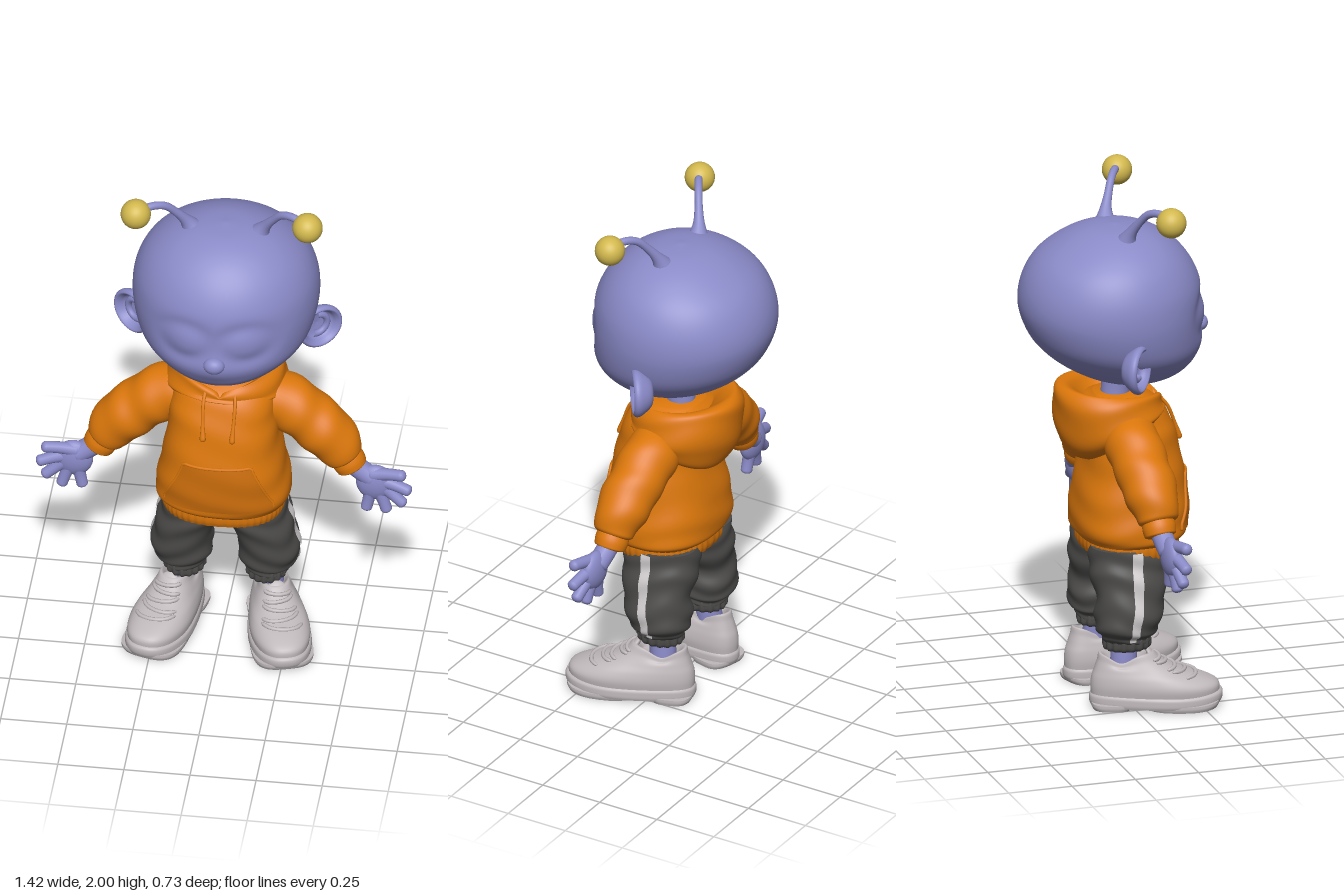
import * as THREE from 'three';
import { mergeVertices, toCreasedNormals } from 'three/addons/utils/BufferGeometryUtils.js';

const V = (x, y, z) => new THREE.Vector3(x, y, z);
const paint = (name, color) => Object.assign(new THREE.MeshStandardMaterial({ color }), { name });

// Smooth surface from a rule f(s, t), s around and t along, both 0..1
function grid(f, ns, nt, crease = 0.9) {
  const pos = [], idx = [];
  for (let j = 0; j <= nt; j++) for (let i = 0; i <= ns; i++) pos.push(...f(i / ns, j / nt).toArray());
  for (let j = 0; j < nt; j++) for (let i = 0; i < ns; i++) {
    const a = j * (ns + 1) + i, c = a + ns + 1;
    idx.push(a, a + 1, c + 1, a, c + 1, c);
  }
  const geo = new THREE.BufferGeometry();
  geo.setAttribute('position', new THREE.Float32BufferAttribute(pos, 3));
  geo.setIndex(idx);
  const merged = mergeVertices(geo, 1e-5).scale(100, 100, 100);
  return toCreasedNormals(merged, crease).scale(0.01, 0.01, 0.01);
}

// Horizontal rings [y, halfWidth, zFront, zBack, centreX, yBack, power] blended smoothly from bottom to top
function rings(sections, { n = 2, ribs = 0, ribSize = 0, fold = 0, warp } = {}) {
  const rows = sections.map(([y, w, zf, zb, cx = 0, yb = y, p = 1]) => [y, w, zf, zb, cx, yb, p]);
  const curve = new THREE.CubicInterpolant(rows.map((_, i) => i), rows.flat(), 7);
  const bend = (v) => Math.sign(v) * Math.abs(v) ** (2 / n);
  return (t, a, off = 0, shrink = 1) => {
    const [y, w, zf, zb, cx, yb, p] = curve.evaluate(t);
    const o = off + ribSize * Math.cos(ribs * a) + fold * Math.sin(t * 4 + 2 * Math.sin(a * 2));
    const back = Math.max(0, (1 - Math.cos(a)) / 2) ** p;
    const v = V(cx + shrink * (w + o) * bend(Math.sin(a)), y + (yb - y) * back,
      (zf + zb) / 2 + shrink * ((zf - zb) / 2 + o) * bend(Math.cos(a)));
    return warp ? warp(v) : v;
  };
}

function loft(sections, opts = {}, ns = 64, nt = 48) {
  const at = rings(sections, opts), last = sections.length - 1;
  return grid((s, t) => {
    const k = (t * (nt + 2) - 1) / nt;
    const shrink = k < -1e-6 || k > 1 + 1e-6 ? 0 : 1;
    return at(THREE.MathUtils.clamp(k, 0, 1) * last, s * 2 * Math.PI, 0, shrink);
  }, ns, nt + 2);
}

// Round tube with varying radius and rounded ends
function sweep(points, radii, { cap = 0.12, ns = 16, nt = 24, wrinkle = 0 } = {}) {
  const curve = new THREE.CatmullRomCurve3(points.map((p) => V(...p)));
  const frames = curve.computeFrenetFrames(200);
  const radius = new THREE.CubicInterpolant(radii.map((_, i) => i / (radii.length - 1)), radii, 1);
  return grid((s, k) => {
    const t = 0.5 - 0.5 * Math.cos(k * Math.PI), i = Math.round(t * 200), a = s * 2 * Math.PI;
    const e = Math.max(0, 1 - Math.min(t, 1 - t) / cap);
    const r = (radius.evaluate(t)[0] + wrinkle * Math.sin(t * 24 + 2 * Math.cos(a))) * Math.sqrt(Math.max(0, 1 - e * e));
    return curve.getPointAt(t).addScaledVector(frames.normals[i], r * Math.cos(a))
      .addScaledVector(frames.binormals[i], r * Math.sin(a));
  }, ns, nt);
}

const ball = (r, x, y, z, sx = 1, sy = 1, sz = 1) =>
  new THREE.SphereGeometry(r, 32, 20).scale(sx, sy, sz).translate(x, y, z);

function mirrored(geo) {
  const g = geo.clone().scale(-1, 1, 1);
  const src = g.index ? Array.from(g.index.array) : Array.from({ length: g.attributes.position.count }, (_, i) => i);
  for (let i = 0; i < src.length; i += 3) [src[i + 1], src[i + 2]] = [src[i + 2], src[i + 1]];
  g.setIndex(src);
  return g;
}

export function createModel() {
  const model = new THREE.Group();
  model.name = 'antennaChild';
  const skin = paint('skin', 0x8a8ac8), gold = paint('gold', 0xd2b84e), orange = paint('orange', 0xdb770b);
  const pocketOrange = paint('pocketOrange', 0xc96c0b), grey = paint('charcoal', 0x4c4b4a);
  const shoeGrey = paint('shoeGrey', 0xbfb8bb), white = paint('stripeWhite', 0xd2cecf);
  const add = (name, geo, mat) => {
    const mesh = new THREE.Mesh(geo, mat);
    mesh.name = name;
    model.add(mesh);
  };
  const both = (name, geo, mat) => {
    add(name + 'Left', geo, mat);
    add(name + 'Right', mirrored(geo), mat);
  };

  // Head with soft closed-eye sockets, a faint smile and a slightly pointed muzzle
  const face = (v) => {
    if (v.z < 0.1) return v;
    const d = Math.hypot((Math.abs(v.x) - 0.115) / 0.085, (v.y - 1.51) / 0.065);
    v.z += 0.004 * Math.exp(-1.5 * d * d) - 0.009 * Math.exp(-(((d - 1.1) / 0.45) ** 2));
    const m = (v.y - 1.33 - 0.8 * v.x * v.x) / 0.025;
    v.z -= 0.003 * Math.exp(-m * m - (v.x / 0.16) ** 4);
    v.z += 0.01 * Math.exp(-((v.x / 0.07) ** 2) - ((v.y - 1.4) / 0.06) ** 2);
    return v;
  };
  add('head', loft([[1.232, 0, 0.06, 0.06], [1.238, 0.095, 0.15, -0.03], [1.262, 0.165, 0.235, -0.11],
    [1.31, 0.24, 0.29, -0.2], [1.37, 0.303, 0.32, -0.277], [1.44, 0.336, 0.328, -0.332],
    [1.54, 0.352, 0.328, -0.366], [1.64, 0.34, 0.314, -0.354], [1.73, 0.295, 0.268, -0.302],
    [1.8, 0.215, 0.196, -0.208], [1.842, 0.115, 0.105, -0.108], [1.855, 0, 0, 0]], { warp: face }, 96, 90), skin);
  add('nose', ball(0.04, 0, 1.425, 0.332, 1, 0.82, 0.8), skin);
  add('neck', sweep([[0, 1.08, 0], [0, 1.18, 0], [0, 1.28, 0.01]], [0.07, 0.055, 0.06], { ns: 32 }), skin);

  // Ears: deep rolled dish with an inner fold
  const placeEar = (g) => g.rotateZ(-0.45).rotateY(0.66).translate(0.352, 1.385, -0.022);
  const dish = new THREE.SplineCurve([[0, -0.06], [0.05, -0.052], [0.084, -0.015], [0.091, 0.008], [0.08, 0.02],
    [0.067, 0.008], [0.05, -0.016], [0, -0.024]].map((p) => new THREE.Vector2(...p)));
  both('ear', placeEar(new THREE.LatheGeometry(dish.getPoints(36), 40).rotateX(Math.PI / 2).scale(1.02, 1, 1)), skin);
  both('earFold', placeEar(new THREE.TorusGeometry(0.042, 0.013, 10, 24, 3.6).rotateZ(-1.6).translate(-0.005, 0, -0.01)), skin);

  // Antennae
  both('antennaStalk', sweep([[0.12, 1.8, 0], [0.145, 1.85, 0.01], [0.185, 1.91, 0.035], [0.225, 1.953, 0.06],
    [0.275, 1.965, 0.09], [0.325, 1.945, 0.115]], [0.05, 0.024, 0.016, 0.015, 0.015, 0.015], { cap: 0.02, nt: 40 }), skin);
  both('antennaBall', ball(0.057, 0.325, 1.945, 0.115), gold);

  // Hoodie body and ribbed hem
  const torso = [[0.63, 0.235, 0.235, -0.14], [0.66, 0.255, 0.255, -0.16], [0.72, 0.25, 0.262, -0.162],
    [0.8, 0.235, 0.262, -0.155], [0.9, 0.217, 0.25, -0.135], [1.0, 0.205, 0.23, -0.125],
    [1.08, 0.2, 0.205, -0.13], [1.15, 0.175, 0.165, -0.12], [1.19, 0.1, 0.1, -0.08]];
  const torsoOpts = { n: 2.4, fold: 0.002 };
  add('hoodieBody', loft(torso, torsoOpts, 80, 60), orange);
  add('hoodieHem', loft([[0.58, 0.225, 0.218, -0.13], [0.6, 0.232, 0.226, -0.137], [0.625, 0.234, 0.228, -0.138],
    [0.65, 0.23, 0.226, -0.136]], { n: 2.4, ribs: 48, ribSize: 0.002 }, 192, 8), orange);

  // Hood lying on the shoulders, open at the neck with a V in front
  add('hood', loft([[1.1, 0.16, 0.14, -0.1, 0, 0.93, 1.6], [1.12, 0.21, 0.172, -0.185, 0, 0.965, 1.4],
    [1.135, 0.234, 0.18, -0.225, 0, 1.06, 1], [1.145, 0.222, 0.175, -0.235, 0, 1.17, 0.4],
    [1.15, 0.195, 0.165, -0.218, 0, 1.225, 0.24], [1.138, 0.165, 0.143, -0.168, 0, 1.217, 0.24],
    [1.12, 0.11, 0.09, -0.1, 0, 1.15, 0.5], [1.1, 0.05, 0.05, -0.05, 0, 1.1, 1]], { fold: 0.003 }, 96, 56), orange);

  // Front pocket with raised edge, following the body
  const body = rings(torso, torsoOpts);
  const pocketPoint = (s, t, off) => {
    const half = t < 0.15 ? 0.87 : THREE.MathUtils.lerp(0.87, 0.53, (t - 0.15) / 0.85);
    return body(1.33 + 2.45 * t, (2 * s - 1) * half, off);
  };
  add('pocket', grid((s, t) => pocketPoint(s, t, 0.006), 32, 20), pocketOrange);
  const edge = [];
  for (let i = 0; i <= 12; i++) edge.push(pocketPoint(0, i / 12, 0.003).toArray());
  for (let i = 1; i <= 12; i++) edge.push(pocketPoint(i / 12, 1, 0.003).toArray());
  for (let i = 11; i >= 0; i--) edge.push(pocketPoint(1, i / 12, 0.003).toArray());
  add('pocketEdge', sweep(edge, [0.006, 0.006, 0.006], { cap: 0.01, ns: 8, nt: 80 }), orange);

  // Drawstrings
  both('drawstring', sweep([[0.055, 1.175, 0.15], [0.06, 1.13, 0.186], [0.058, 1.06, 0.215], [0.055, 0.99, 0.238]],
    [0.007, 0.007, 0.007, 0.013], { ns: 10, cap: 0.06 }), orange);

  // Sleeves and gathered cuffs
  both('sleeve', sweep([[0.1, 1.08, 0], [0.22, 1.04, 0], [0.32, 0.97, 0.005], [0.41, 0.885, 0.015], [0.465, 0.8, 0.02]],
    [0.085, 0.106, 0.104, 0.1, 0.07], { ns: 40, nt: 60, cap: 0.05, wrinkle: 0.003 }), orange);
  both('sleeveCuff', sweep([[0.452, 0.825, 0.02], [0.468, 0.793, 0.02], [0.485, 0.76, 0.022]],
    [0.06, 0.064, 0.058], { ns: 32, cap: 0.15 }), orange);

  // Hands: wrist, palm and five spread fingers
  both('wrist', sweep([[0.465, 0.8, 0.02], [0.51, 0.76, 0.024], [0.57, 0.72, 0.03]], [0.042, 0.04, 0.04]), skin);
  both('palm', ball(0.073, 0.57, 0.71, 0.033, 1, 1.05, 0.5), skin);
  [[0.545, 0.745, 0.62, 0.763, 0.69, 0.772, 0.065], [0.585, 0.725, 0.645, 0.712, 0.71, 0.692, 0.055],
    [0.585, 0.71, 0.635, 0.668, 0.686, 0.625, 0.05], [0.575, 0.695, 0.597, 0.645, 0.618, 0.583, 0.045],
    [0.555, 0.69, 0.547, 0.64, 0.535, 0.583, 0.04]].forEach(([ax, ay, bx, by, cx, cy, z], i) =>
    both(i ? 'finger' + i : 'thumb', sweep([[ax, ay, 0.033], [bx, by, (z + 0.033) / 2], [cx, cy, z]], [0.03, 0.023, 0.022]), skin));

  // Trousers, side stripes and gathered ankles
  const leg = [[0.25, 0.072, 0.08, -0.09, 0.155], [0.275, 0.085, 0.09, -0.105, 0.157], [0.3, 0.107, 0.108, -0.122, 0.162],
    [0.35, 0.117, 0.122, -0.13, 0.164], [0.42, 0.11, 0.137, -0.122, 0.16], [0.5, 0.122, 0.153, -0.135, 0.132],
    [0.56, 0.122, 0.16, -0.137, 0.117], [0.62, 0.118, 0.155, -0.13, 0.112]];
  const legOpts = { n: 2.2, fold: 0.004 };
  both('trouserLeg', loft(leg, legOpts, 56, 48), grey);
  const legAt = rings(leg, legOpts);
  both('trouserStripe', grid((s, t) => legAt(0.6 + 6.3 * t, Math.PI / 2 + (s - 0.5) * 0.22, 0.004), 6, 40), white);
  both('trouserCuff', loft([[0.222, 0.068, 0.076, -0.088, 0.155], [0.235, 0.077, 0.085, -0.095, 0.155],
    [0.265, 0.077, 0.084, -0.094, 0.156], [0.28, 0.07, 0.078, -0.09, 0.156]], { ribs: 16, ribSize: 0.004 }, 96, 10), grey);
  both('ankle', sweep([[0.17, 0.12, -0.025], [0.165, 0.2, -0.02], [0.16, 0.28, -0.01]], [0.05, 0.05, 0.05], { ns: 24 }), skin);

  // Shoes, toes turned out
  const place = (g) => g.rotateY(0.28).translate(0.182, 0, 0);
  const shape = (v) => { // narrower heel, toe spring and a collar dipping at the ankle
    v.x *= 0.87 + 0.25 * THREE.MathUtils.smoothstep(v.z, -0.1, 0.2);
    if (v.z > 0.2) v.y += 0.6 * (v.z - 0.2) ** 2;
    v.y -= 0.035 * THREE.MathUtils.smoothstep(v.y, 0.15, 0.21) * Math.exp(-(((v.z + 0.035) / 0.05) ** 2));
    return v;
  };
  const upper = [[0.045, 0.1, 0.335, -0.148], [0.085, 0.104, 0.328, -0.15], [0.12, 0.096, 0.27, -0.146],
    [0.15, 0.082, 0.185, -0.136], [0.185, 0.068, 0.118, -0.125], [0.215, 0.06, 0.085, -0.118],
    [0.208, 0.05, 0.065, -0.1], [0.18, 0.04, 0.05, -0.08]];
  const shoeOpts = { n: 2.4, warp: shape };
  both('shoeSole', place(loft([[0.012, 0.105, 0.34, -0.15], [0.022, 0.108, 0.345, -0.154], [0.036, 0.108, 0.347, -0.155],
    [0.048, 0.107, 0.345, -0.154], [0.056, 0.102, 0.338, -0.149]], shoeOpts, 64, 12)), shoeGrey);
  [['shoeTread', 0.335, 0.05], ['shoeHeel', 0.01, -0.148]].forEach(([name, zf, zb]) =>
    both(name, place(loft([[0, 0.1, zf - 0.006, zb + 0.006], [0.012, 0.104, zf, zb], [0.024, 0.104, zf, zb]],
      { n: 3, warp: shape }, 48, 6)), shoeGrey));
  both('shoeUpper', place(loft(upper, shoeOpts, 64, 40)), shoeGrey);
  both('shoeTongue', place(ball(0.045, 0, 0, 0, 0.9, 1, 0.32).rotateX(-0.6).translate(0, 0.19, 0.085)), shoeGrey);
  const shoeAt = rings(upper, shoeOpts);
  [2.35, 2.8, 3.3, 3.8, 4.3].forEach((t, i) => {
    const path = [-0.75, -0.4, 0, 0.4, 0.75].map((a) => shoeAt(t + a * 0.15 * (i % 2 ? 1 : -1), a, 0.003).toArray());
    both('shoeLace' + i, place(sweep(path, [0.008, 0.008], { ns: 8 })), shoeGrey);
  });
  return model;
}
